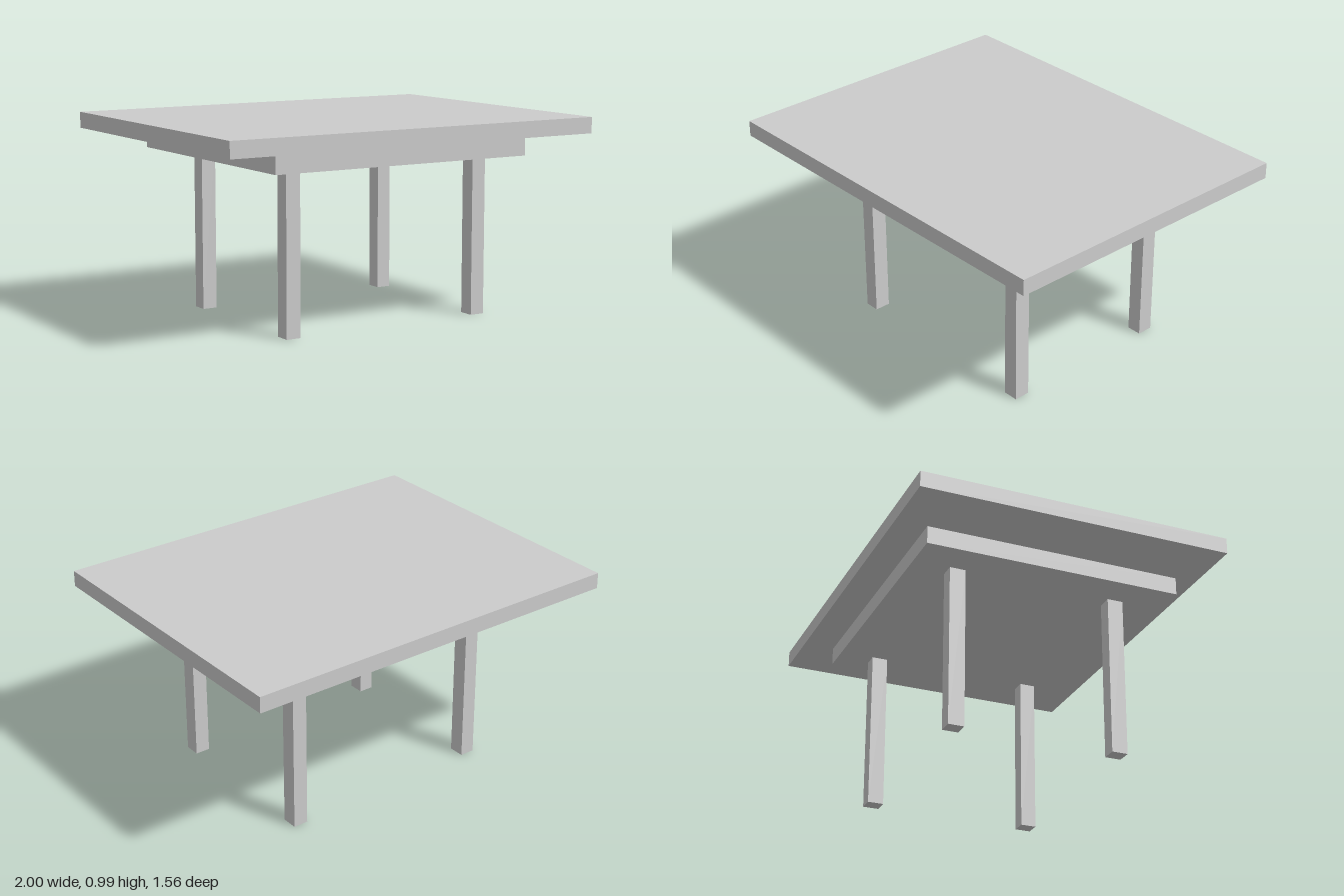
import * as THREE from 'three';

const material = new THREE.MeshStandardMaterial({ color: 0xcccccc, flatShading: true });

// Box spanning the given [min, max] range on each axis
function slab(name, [x0, x1], [y0, y1], [z0, z1]) {
  const mesh = new THREE.Mesh(new THREE.BoxGeometry(x1 - x0, y1 - y0, z1 - z0), material);
  mesh.name = name;
  mesh.position.set((x0 + x1) / 2, (y0 + y1) / 2, (z0 + z1) / 2);
  return mesh;
}

export function createModel() {
  const table = new THREE.Group();
  table.name = 'table';

  // Table top, with a narrow gap above the smaller support board
  table.add(slab('tableTop', [-1, 1], [0.906, 0.986], [-0.78, 0.78]));
  table.add(slab('supportBoard', [-0.705, 0.686], [0.805, 0.893], [-0.632, 0.66]));

  // Four square legs, placed slightly unevenly
  const legs = [
    ['frontLeftLeg', 0.563, 0.415],
    ['frontRightLeg', -0.494, 0.415],
    ['backLeftLeg', 0.563, -0.424],
    ['backRightLeg', -0.494, -0.411],
  ];
  for (const [name, x, z] of legs) {
    table.add(slab(name, [x - 0.0375, x + 0.0375], [0, 0.805], [z - 0.04, z + 0.04]));
  }
  return table;
}
